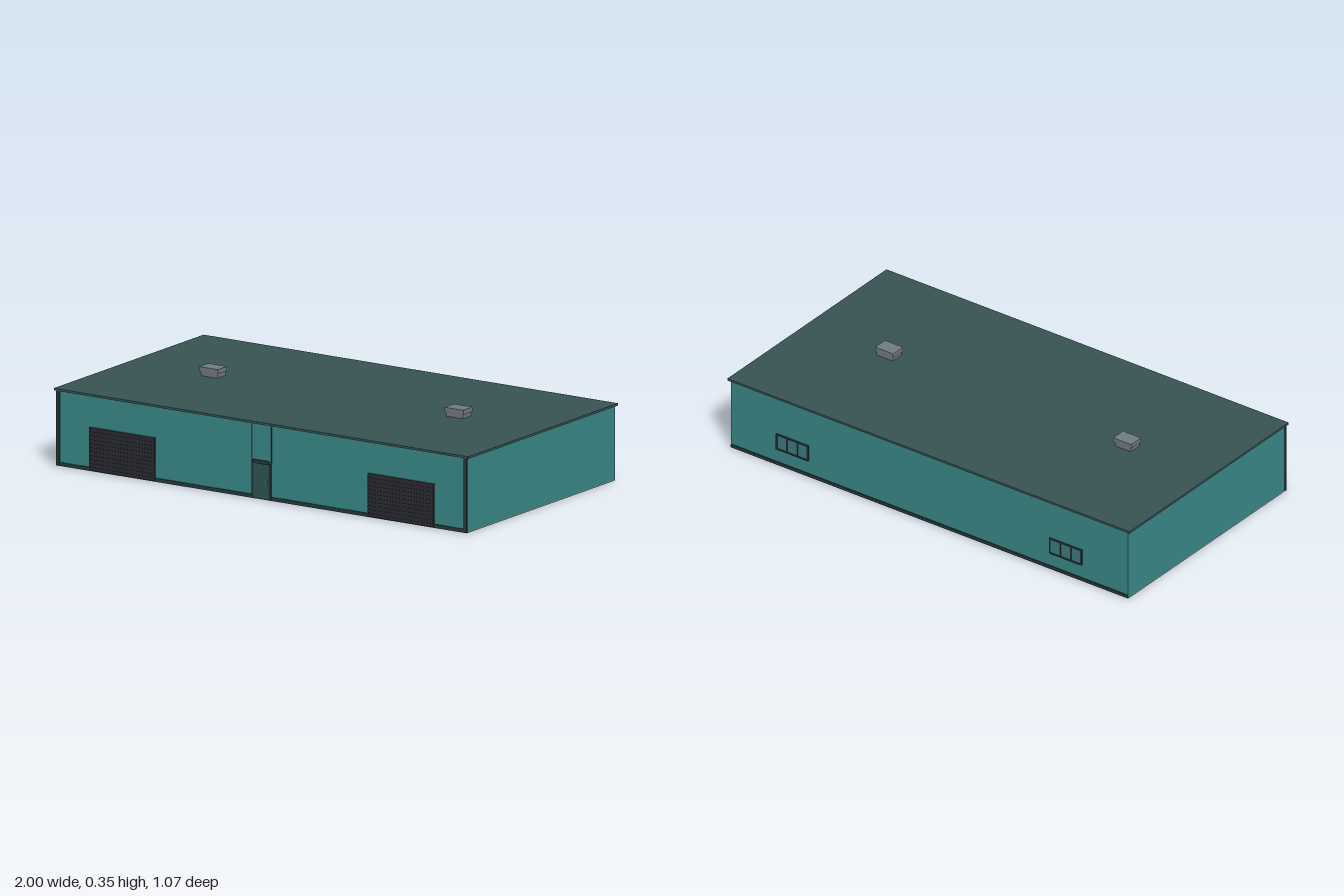
import * as THREE from 'three';

const mat = (name, color) => {
  const m = new THREE.MeshStandardMaterial({ color });
  m.name = name;
  return m;
};

export function createModel() {
  const teal = mat('teal wall', 0x3a8a8a);
  const roofMat = mat('dark teal roof', 0x385454);
  const trim = mat('dark trim', 0x263a3c);
  const slatMat = mat('charcoal slats', 0x2a2b32);
  const gapMat = mat('grey slat gaps', 0x555960);
  const ventMat = mat('grey vent', 0x707b83);
  const floorMat = mat('concrete floor', 0x8f8c7c);
  const doorMat = mat('door green', 0x2f5556);
  const glass = mat('window glass', 0x3f7c80);

  const model = new THREE.Group();
  model.name = 'warehouse';

  // Box given by its lower and upper limits on each axis
  const box = (parent, name, material, x0, x1, y0, y1, z0, z1) => {
    const mesh = new THREE.Mesh(new THREE.BoxGeometry(x1 - x0, y1 - y0, z1 - z0), material);
    mesh.position.set((x0 + x1) / 2, (y0 + y1) / 2, (z0 + z1) / 2);
    mesh.name = name;
    parent.add(mesh);
    return mesh;
  };
  const group = (name, x = 0) => {
    const g = new THREE.Group();
    g.name = name;
    g.position.x = x;
    model.add(g);
    return g;
  };

  // Shell: floor slab, walls, flat roof
  box(model, 'floor', floorMat, -0.988, 0.988, 0, 0.004, -0.525, 0.523);
  box(model, 'walls', teal, -0.988, 0.988, 0.004, 0.309, -0.525, 0.522);
  box(model, 'roof', roofMat, -1, 1, 0.309, 0.318, -0.532, 0.53);

  // Base trim on front (broken by the doors) and back
  for (const s of [-1, 1]) {
    for (const [a, b] of [[0.045, 0.515], [0.83, 0.975]]) {
      box(model, 'frontBaseTrim', trim, Math.min(s * a, s * b), Math.max(s * a, s * b), 0.002, 0.016, 0.52, 0.527);
    }
    const x = s * 0.983;
    box(model, 'frontCornerTrim', trim, x - 0.008, x + 0.008, 0.002, 0.309, 0.518, 0.529);
  }
  box(model, 'backBaseTrim', trim, -0.985, 0.985, 0.004, 0.017, -0.53, -0.522);

  for (const s of [-1, 1]) {
    // Roller door with stacked slats
    const roller = group('rollerDoor', s * 0.672);
    box(roller, 'rollerBacking', gapMat, -0.155, 0.155, 0.004, 0.182, 0.52, 0.5255);
    const n = 11, pitch = 0.18 / n;
    for (let i = 0; i < n; i++) {
      const y = 0.004 + i * pitch;
      box(roller, 'slat', slatMat, -0.158, 0.158, y, y + pitch * 0.84, 0.52, 0.53);
    }

    // Roof vent
    const vent = group('roofVent', s * 0.592);
    box(vent, 'ventBody', ventMat, -0.04, 0.04, 0.316, 0.34, -0.029, 0.029);
    box(vent, 'ventCap', ventMat, -0.045, 0.045, 0.336, 0.355, -0.033, 0.033);

    // Back window with three panes
    const win = group('backWindow', s * 0.68);
    box(win, 'glass', glass, -0.076, 0.076, 0.08, 0.14, -0.529, -0.523);
    for (const y of [0.075, 0.14]) box(win, 'frameRail', trim, -0.08, 0.08, y, y + 0.006, -0.532, -0.523);
    for (const x of [-0.077, -0.026, 0.026, 0.077]) {
      box(win, 'mullion', trim, x - 0.003, x + 0.003, 0.08, 0.14, -0.532, -0.523);
    }
  }

  // Entrance: wall panel, door leaf, frame, canopy and handle
  const entry = group('entrance');
  box(entry, 'entryPanel', teal, -0.044, 0.044, 0.16, 0.309, 0.52, 0.525);
  box(entry, 'doorLeaf', doorMat, -0.038, 0.038, 0.004, 0.148, 0.52, 0.528);
  for (const s of [-1, 1]) {
    box(entry, 'doorJamb', trim, s * 0.041 - 0.004, s * 0.041 + 0.004, 0.002, 0.15, 0.52, 0.53);
    box(entry, 'panelEdge', trim, s * 0.046 - 0.002, s * 0.046 + 0.002, 0.15, 0.309, 0.52, 0.527);
  }
  box(entry, 'canopy', trim, -0.036, 0.036, 0.148, 0.162, 0.52, 0.534);
  box(entry, 'handle', ventMat, 0.022, 0.027, 0.065, 0.083, 0.525, 0.532);

  return model;
}
